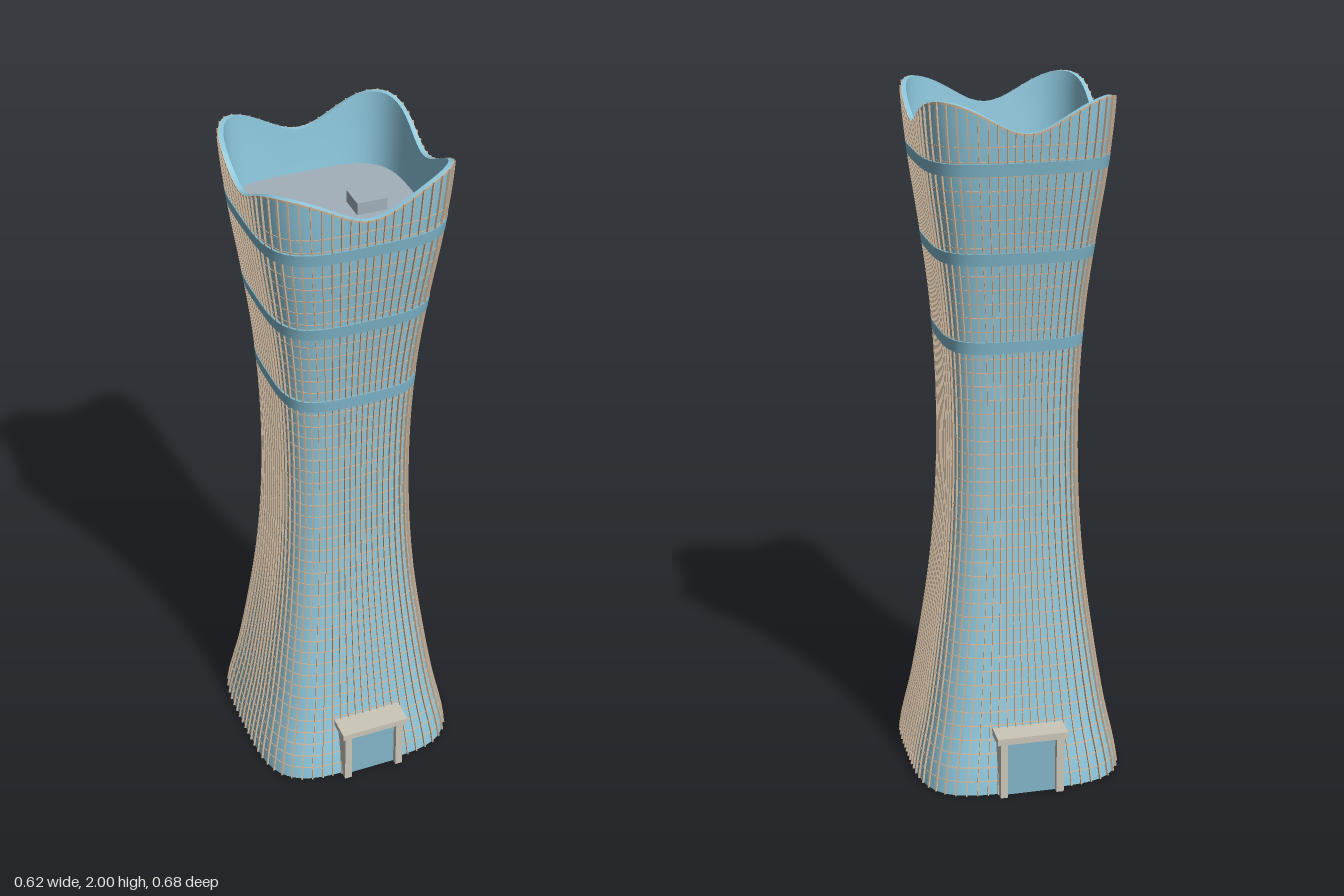
import * as THREE from 'three';
import { mergeGeometries, toCreasedNormals } from 'three/addons/utils/BufferGeometryUtils.js';

const COLS = 96, FINS = 72, WALL = 0.013, ROOF_Y = 1.79;

// Half-width of the waisted tower at evenly spaced heights from 0 to 2
const profile = new THREE.SplineCurve(
  [0.303, 0.264, 0.232, 0.206, 0.190, 0.184, 0.187, 0.200, 0.224, 0.252, 0.270]
    .map((r, i) => new THREE.Vector2(i * 0.2, r)));
const halfWidth = y => profile.getPoint(THREE.MathUtils.clamp(y / 2, 0, 1)).y;

// Rounded-square plan as a polar radius, and the wavy rim with peaks at the corners
const plan = a => (Math.sin(a) ** 4 + Math.cos(a) ** 4) ** -0.25;
const rimY = a => 1.957 - 0.043 * Math.cos(4 * a);

function wallPoint(a, y, offset = 0) {
  const r = halfWidth(y) * plan(a) + offset;
  return new THREE.Vector3(r * Math.sin(a), y, r * Math.cos(a));
}

// Surface from a grid of points; columns run anticlockwise, rows upwards
function grid(rows, cols, wrap, point) {
  const pos = [], index = [];
  for (let i = 0; i < rows; i++)
    for (let j = 0; j < cols; j++) pos.push(...point(i, j).toArray());
  for (let i = 0; i < rows - 1; i++)
    for (let j = 0; j < (wrap ? cols : cols - 1); j++) {
      const k = (j + 1) % cols;
      const a = i * cols + j, b = i * cols + k, c = b + cols, d = a + cols;
      index.push(a, b, c, a, c, d);
    }
  const g = new THREE.BufferGeometry();
  g.setAttribute('position', new THREE.Float32BufferAttribute(pos, 3));
  g.setIndex(index);
  g.computeVertexNormals();
  return g;
}

// Loop around the tower; each row gives [offset, height] at an angle
function loop(rows) {
  return grid(rows.length, COLS, true, (i, j) => {
    const a = j / COLS * Math.PI * 2;
    const [offset, y] = rows[i](a);
    return wallPoint(a, y, offset);
  });
}

// Raised belt between two heights
function belt(low, high, depth) {
  return toCreasedNormals(loop([
    a => [0, low(a)], a => [depth, low(a)], a => [depth, high(a)], a => [0, high(a)],
  ]), 0.6);
}

// Slim vertical fin that follows the wall at one angle
function fin(a) {
  const t = wallPoint(a + 0.01, 1).sub(wallPoint(a - 0.01, 1)).normalize();
  const n = new THREE.Vector3(-t.z, 0, t.x);
  const section = [[-0.002, -0.001], [-0.002, 0.006], [0.002, 0.006], [0.002, -0.001]];
  return toCreasedNormals(grid(41, 4, false, (i, j) =>
    wallPoint(a, i / 40 * rimY(a))
      .addScaledVector(t, section[j][0]).addScaledVector(n, section[j][1])), 0.6);
}

export function createModel() {
  const material = (name, color, side = THREE.FrontSide) => {
    const m = new THREE.MeshStandardMaterial({ color, side });
    m.name = name;
    return m;
  };
  const glass = material('blue glass', 0x8cc6dc);
  const bandBlue = material('band blue', 0x7fb6ca);
  const tan = material('tan metal', 0xcdb89f, THREE.DoubleSide);
  const stone = material('pale stone', 0xcbc7ba);
  const roofGrey = material('roof grey', 0xa2b0ba, THREE.DoubleSide);
  const doorGlass = material('door glass', 0x83b5c9);

  const model = new THREE.Group();
  model.name = 'tower';
  const add = (name, geometry, mat, parent = model) => {
    const mesh = new THREE.Mesh(geometry, mat);
    mesh.name = name;
    parent.add(mesh);
    return mesh;
  };
  const box = (name, mat, parent, x0, x1, y0, y1, z0, z1) =>
    add(name, new THREE.BoxGeometry(x1 - x0, y1 - y0, z1 - z0), mat, parent)
      .position.set((x0 + x1) / 2, (y0 + y1) / 2, (z0 + z1) / 2);

  // Hollow glass shell: outside, rim, inside and bottom edge
  const up = Array.from({ length: 49 }, (_, i) => i / 48);
  add('outerWall', loop(up.map(v => a => [0, v * rimY(a)])), glass);
  add('rim', loop([a => [0, rimY(a)], a => [-WALL, rimY(a)]]), glass);
  add('innerWall', loop([...up].reverse().map(v => a => [-WALL, v * rimY(a)])), glass);
  add('bottomEdge', loop([() => [-WALL, 0], () => [0, 0]]), glass);

  // Fins, floor lines and rim trim
  add('fins', mergeGeometries(Array.from({ length: FINS },
    (_, i) => fin((i + 0.5) / FINS * Math.PI * 2))), tan);
  const floors = [];
  for (let y = 0.04; y < 1.9; y += 0.04) floors.push(belt(() => y, () => y + 0.003, 0.002));
  add('floorLines', mergeGeometries(floors), tan);
  add('rimTrim', belt(a => rimY(a) - 0.006, rimY, 0.002), tan);

  // Plain bands around the upper part
  for (const y of [1.315, 1.57, 1.82])
    add('band', belt(() => y - 0.017, () => y + 0.017, 0.007), bandBlue);

  // Sunken roof with two plant boxes
  const outline = Array.from({ length: COLS }, (_, j) => {
    const p = wallPoint(j / COLS * Math.PI * 2, ROOF_Y, -WALL + 0.001);
    return new THREE.Vector2(p.x, p.z);
  });
  add('roof', new THREE.ShapeGeometry(new THREE.Shape(outline)).rotateX(-Math.PI / 2), roofGrey)
    .position.y = ROOF_Y;
  for (const x of [-0.097, 0.095])
    box('roofBox', roofGrey, model, x - 0.043, x + 0.043, ROOF_Y, ROOF_Y + 0.035, -0.045, 0.033);

  // Matching entrances at front and back
  for (const turn of [0, Math.PI]) {
    const entrance = new THREE.Group();
    entrance.name = turn ? 'backEntrance' : 'frontEntrance';
    entrance.rotation.y = turn;
    model.add(entrance);
    box('lintel', stone, entrance, -0.104, 0.104, 0.175, 0.195, 0.25, 0.34);
    for (const x of [-0.083, 0.083])
      box('post', stone, entrance, x - 0.011, x + 0.011, 0, 0.175, 0.26, 0.33);
    box('door', doorGlass, entrance, -0.072, 0.072, 0, 0.175, 0.304, 0.312);
  }
  return model;
}
